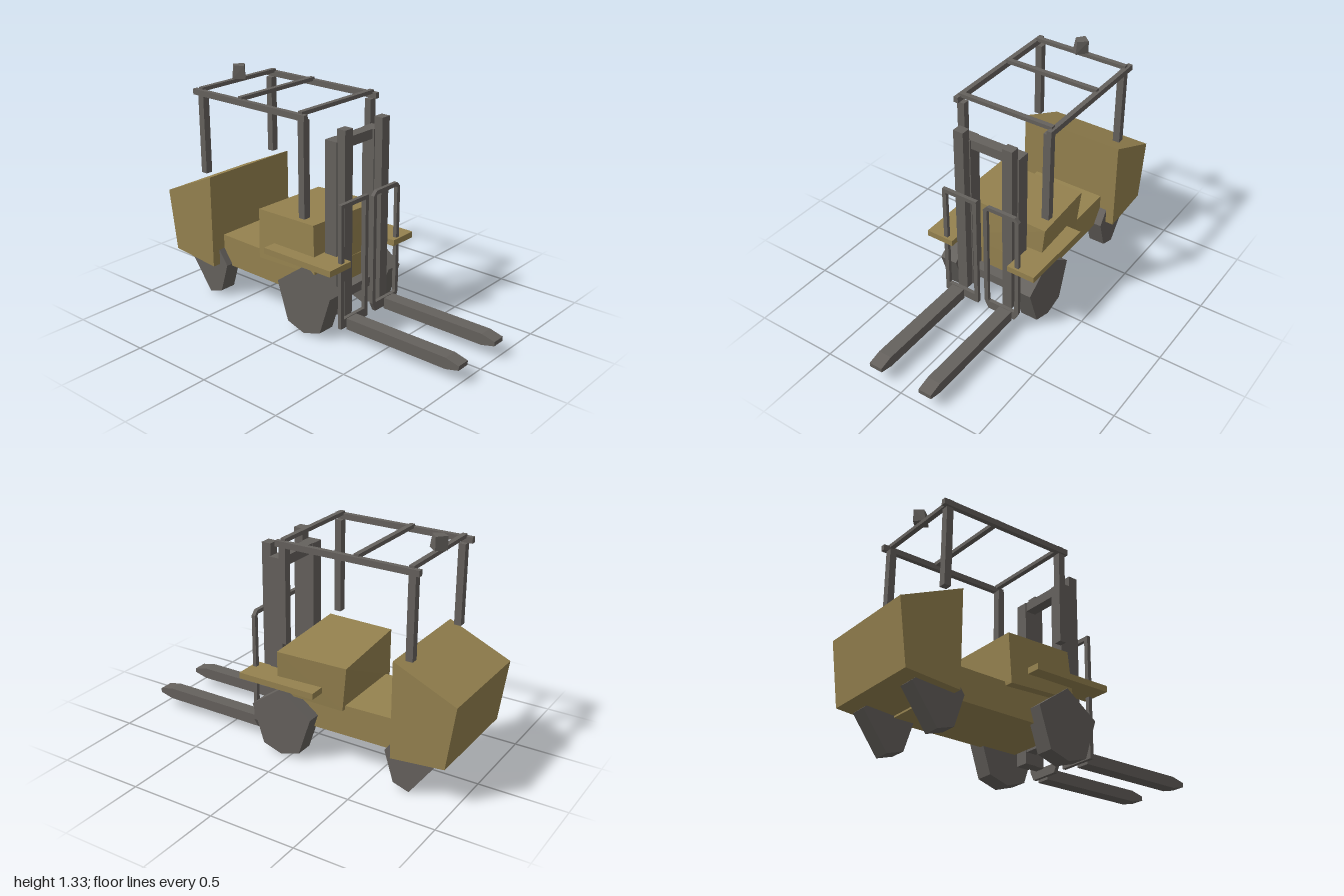
import * as THREE from 'three';
import { ConvexGeometry } from 'three/addons/geometries/ConvexGeometry.js';

const paint = new THREE.MeshStandardMaterial({ color: 0x95824f });
paint.name = 'ochre paint';
const steel = new THREE.MeshStandardMaterial({ color: 0x65615d });
steel.name = 'dark grey steel';

export function createModel() {
  const model = new THREE.Group();
  model.name = 'forklift';

  const add = (name, geometry, material) => {
    const mesh = new THREE.Mesh(geometry.index ? geometry.toNonIndexed() : geometry, material);
    mesh.geometry.computeVertexNormals();
    mesh.name = name;
    model.add(mesh);
    return mesh;
  };

  // Box given by its limits on each axis
  const box = (name, [x0, x1], [y0, y1], [z0, z1], material = steel) => {
    const g = new THREE.BoxGeometry(x1 - x0, y1 - y0, z1 - z0);
    g.translate((x0 + x1) / 2, (y0 + y1) / 2, (z0 + z1) / 2);
    return add(name, g, material);
  };

  const toShape = (pts) => new THREE.Shape(pts.map(([a, b]) => new THREE.Vector2(a, b)));

  // Side profile of [z, y] points, extruded from x0 to x1
  const profile = (name, pts, x0, x1, material = steel) => {
    const g = new THREE.ExtrudeGeometry(toShape(pts), { depth: x1 - x0, bevelEnabled: false });
    g.rotateY(-Math.PI / 2).translate(x1, 0, 0);
    return add(name, g, material);
  };

  const hull = (name, pts, material) =>
    add(name, new ConvexGeometry(pts.map((p) => new THREE.Vector3(...p))), material);

  // Body
  profile('counterweight', [[-0.64, 0.2], [-0.64, 0.75], [-1, 0.59], [-0.95, 0.23]], -0.32, 0.32, paint);
  profile('chassis', [[0.1, 0.185], [0.1, 0.36], [-0.7, 0.375], [-0.7, 0.195]], -0.23, 0.225, paint);
  hull('engineHood', [
    [-0.28, 0.36, 0.11], [0.27, 0.36, 0.09], [-0.28, 0.345, -0.3], [0.25, 0.345, -0.31],
    [-0.265, 0.635, 0.09], [0.29, 0.61, 0.08], [-0.265, 0.63, -0.31], [0.265, 0.605, -0.34],
  ], paint);

  // Parts mirrored left and right
  for (const s of [1, -1]) {
    const side = s > 0 ? 'left' : 'right';
    const span = (a, b) => (s > 0 ? [a, b] : [-b, -a]);

    box(`${side}Fender`, span(0.185, 0.355), [0.425, 0.46], [-0.19, 0.285], paint);

    profile(`${side}FrontWheel`,
      [[0.05, 0.4], [-0.14, 0.262], [-0.067, 0.038], [0.05, 0], [0.167, 0.038], [0.24, 0.262]],
      ...span(0.2, 0.305));
    profile(`${side}RearWheel`,
      [[-0.58, 0.205], [-0.64, 0.29], [-0.73, 0.34], [-0.88, 0.205], [-0.73, 0], [-0.635, 0.03]],
      ...span(0.17, 0.27));

    // Mast rails and fork
    box(`${side}FrontMastRail`, span(0.122, 0.184), [0.115, 1.17], [0.185, 0.24]);
    box(`${side}RearMastRail`, span(0.115, 0.193), [0.115, 1.1], [0.11, 0.19]);
    profile(`${side}Fork`,
      [[0.27, 0.06], [0.92, 0.06], [1, 0.08], [1, 0.105], [0.92, 0.125], [0.27, 0.125]],
      ...span(0.124, 0.204));

    // Overhead guard
    box(`${side}FrontPost`, span(0.25, 0.295), [0.67, 1.21], [0.015, 0.055]);
    box(`${side}RearPost`, span(0.25, 0.292), [0.755, 1.21], [-0.735, -0.695]);
    box(`${side}RoofRail`, span(0.278, 0.306), [1.21, 1.243], [-0.76, 0.07]);
  }

  box('upperMastBar', [-0.125, 0.125], [1.045, 1.1], [0.115, 0.18]);
  box('lowerMastBar', [-0.125, 0.125], [0.18, 0.235], [0.115, 0.18]);

  for (const z of [0.03, -0.405, -0.71]) {
    box('roofCrossBar', [-0.292, 0.292], [1.234, 1.256], [z - 0.014, z + 0.014]);
  }

  // Fork carriage frames: square corners on the right, clipped corners on the left
  const frame = (name, x0, x1, c) => {
    const ring = (l, r, b, t, k) => (k
      ? [[l + k, b], [r - k, b], [r, b + 2 * k], [r, t - k], [r - k, t], [l + k, t], [l, t - k], [l, b + 2 * k]]
      : [[l, b], [r, b], [r, t], [l, t]]);
    const shape = toShape(ring(x0, x1, 0.075, 0.79, c));
    shape.holes.push(toShape(ring(x0 + 0.025, x1 - 0.025, 0.128, 0.767, c / 5)));
    const g = new THREE.ExtrudeGeometry(shape, { depth: 0.022, bevelEnabled: false });
    add(name, g.translate(0, 0, 0.25), steel);
  };
  frame('rightCarriageFrame', -0.25, -0.025, 0);
  frame('leftCarriageFrame', 0.02, 0.248, 0.026);

  // Warning beacon, a four-sided taper
  hull('beacon', [
    [-0.05, 1.255, -0.71], [0.05, 1.255, -0.71], [0, 1.255, -0.655], [0, 1.255, -0.755],
    [-0.035, 1.33, -0.71], [0.05, 1.33, -0.71], [0, 1.33, -0.667], [0, 1.33, -0.755],
  ], steel);

  return model;
}
